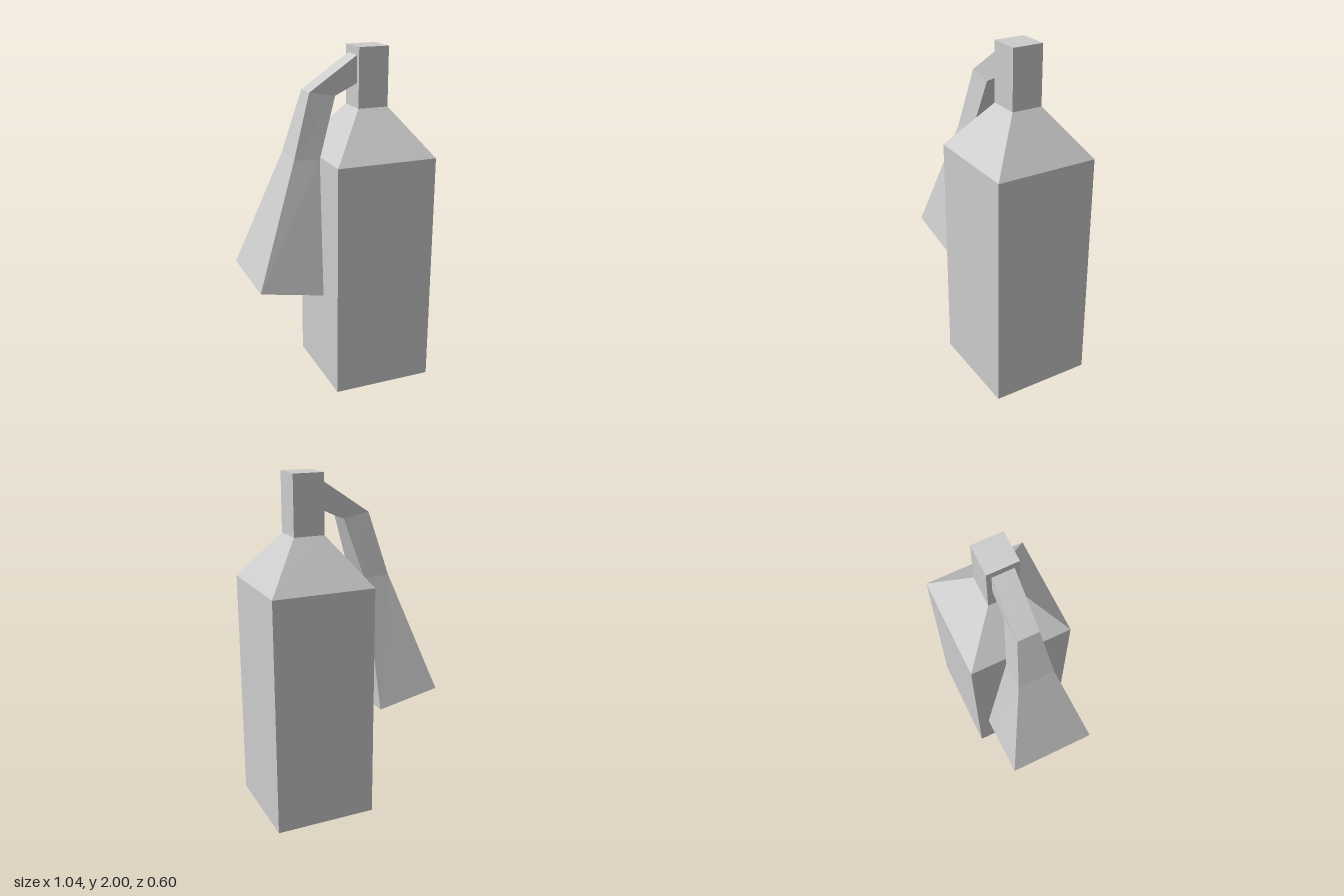
import * as THREE from 'three';

// A ring is a four-cornered section: left point, right point and half depth.
const ring = ([xl, yl, xr, yr, h]) => [
  [xl, yl, h], [xr, yr, h], [xr, yr, -h], [xl, yl, -h],
];

// Joins sections from bottom to top into flat-sided faces, with optional caps.
function loft(sections, { bottom = false, top = false } = {}) {
  const rings = sections.map(ring);
  const positions = [];
  const quad = (a, b, c, d) => positions.push(...a, ...b, ...c, ...a, ...c, ...d);
  for (let r = 0; r < rings.length - 1; r++) {
    const [p, q] = [rings[r], rings[r + 1]];
    for (let i = 0; i < 4; i++) {
      const j = (i + 1) % 4;
      quad(p[i], p[j], q[j], q[i]);
    }
  }
  if (bottom) quad(...[...rings[0]].reverse());
  if (top) quad(...rings[rings.length - 1]);
  const geometry = new THREE.BufferGeometry();
  geometry.setAttribute('position', new THREE.Float32BufferAttribute(positions, 3));
  geometry.computeVertexNormals();
  return geometry;
}

export function createModel() {
  const group = new THREE.Group();
  const grey = new THREE.MeshStandardMaterial({ color: 0xcccccc, side: THREE.DoubleSide });
  grey.name = 'light grey';

  const add = (name, sections, caps) => {
    const mesh = new THREE.Mesh(loft(sections, caps), grey);
    mesh.name = name;
    group.add(mesh);
  };

  // Square level section of the tank, centred on its own axis
  const axis = 0.22;
  const level = (y, half) => [axis - half, y, axis + half, y, half];

  // Tank, open underneath, with tapered shoulder and square valve
  add('tank', [level(0, 0.3), level(1.387, 0.3)]);
  add('shoulder', [level(1.387, 0.3), level(1.66, 0.09)]);
  add('valve', [level(1.66, 0.09), level(2, 0.09)], { top: true });

  // Hose leaving the valve, bending down into the flared horn
  const hornTop = [-0.262, 1.405, -0.11, 1.395, 0.105];
  const bend = [-0.154, 1.765, 0, 1.738, 0.062];
  add('horn', [[-0.523, 0.705, -0.15, 0.632, 0.256], hornTop], { bottom: true });
  add('hose', [hornTop, bend, [0.131, 1.955, 0.131, 1.8, 0.062]]);

  return group;
}
